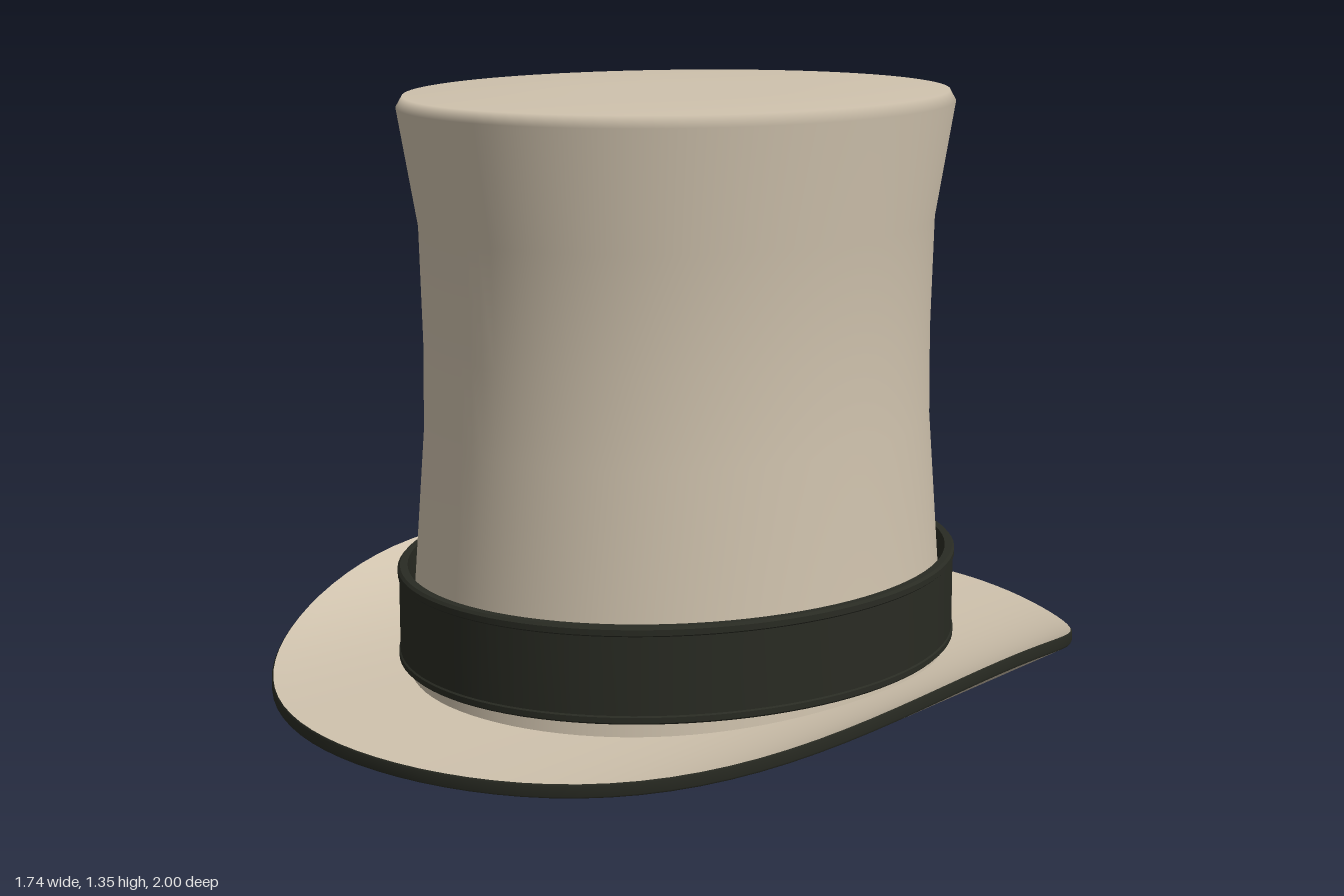
import * as THREE from 'three';
import { toCreasedNormals } from 'three/addons/utils/BufferGeometryUtils.js';
import { RoundedBoxGeometry } from 'three/addons/geometries/RoundedBoxGeometry.js';

const SEG = 96;
const DEPTH = 1.155; // the crown is an ellipse, longer from front to back

// Lathe a list of [radius, height] points and stretch it to the hat's ellipse
function ovalLathe(profile) {
  const g = new THREE.LatheGeometry(profile.map(([r, y]) => new THREE.Vector2(r, y)), SEG);
  return g.scale(1, 1, DEPTH);
}

// Top surface of the brim: nearly level, with the two sides curled up
function brimHeight(x, z) {
  const curl = 0.1375 * Math.pow(Math.abs(x) / 0.872, 4.4);
  return 0.034 - 0.012 * x + 0.004 * z * (z + 1) + curl * (1 + 0.11 * x) * (1 - 0.3 * z);
}

// Surface through elliptical rings [radius, offset from brim top]
function brimSurface(rings) {
  const pos = [], index = [];
  for (const [r, offset] of rings) {
    for (let i = 0; i < SEG; i++) {
      const a = (i / SEG) * Math.PI * 2;
      const x = r * Math.sin(a), z = r * 1.147 * Math.cos(a);
      pos.push(x, brimHeight(x, z) + offset, z);
    }
  }
  for (let j = 0; j < rings.length - 1; j++) {
    for (let i = 0; i < SEG; i++) {
      const k = (i + 1) % SEG;
      const a = j * SEG + i, b = j * SEG + k, c = a + SEG, d = b + SEG;
      index.push(a, c, b, b, c, d);
    }
  }
  const g = new THREE.BufferGeometry();
  g.setAttribute('position', new THREE.Float32BufferAttribute(pos, 3));
  g.setIndex(index);
  g.computeVertexNormals();
  return g;
}

export function createModel() {
  const felt = new THREE.MeshStandardMaterial({ color: 0xcfc2ad, side: THREE.DoubleSide });
  felt.name = 'beige felt';
  const ribbon = new THREE.MeshStandardMaterial({ color: 0x292b23 });
  ribbon.name = 'dark ribbon';

  const hat = new THREE.Group();
  hat.name = 'topHat';
  const add = (name, geometry, material, parent = hat) => {
    const mesh = new THREE.Mesh(geometry, material);
    mesh.name = name;
    parent.add(mesh);
    return mesh;
  };

  // Hollow crown: waisted wall, flared top, bevelled lip and flat lid
  add('crown', ovalLathe([
    [0.583, 0.025], [0.565, 0.28], [0.543, 0.6], [0.541, 0.8], [0.547, 1.06],
    [0.588, 1.325], [0.575, 1.35], [0.2, 1.35], [0, 1.35],
  ]), felt);

  // Brim: felt above and below, with rings spaced from crown to edge
  const inner = 0.582, edge = 0.869, thick = 0.03;
  const steps = Array.from({ length: 11 }, (_, i) => inner + (edge - inner) * (i / 10));
  add('brimTop', brimSurface(steps.map((r) => [r, 0])), felt);
  add('brimUnderside', brimSurface(steps.map((r) => [r, -thick]).reverse()), felt);
  add('brimInnerWall', brimSurface([[inner, -thick], [inner, 0]]), felt);

  // Dark binding along the brim edge
  add('brimBinding', brimSurface([
    [edge, 0], [0.872, -0.004], [0.872, 0.004 - thick], [edge, -thick],
  ]), ribbon);

  // Hat band with a slightly raised hem along both edges
  const bandGeometry = ovalLathe([
    [0.583, 0.07], [0.6, 0.07], [0.604, 0.074], [0.604, 0.086], [0.601, 0.089],
    [0.601, 0.262], [0.604, 0.265], [0.604, 0.278], [0.599, 0.284], [0.583, 0.284], [0.583, 0.07],
  ]);
  add('hatBand', toCreasedNormals(bandGeometry, 0.6), ribbon);

  // Flat bow on the right side: two loops and a knot
  const bow = new THREE.Group();
  bow.name = 'bow';
  hat.add(bow);
  for (const s of [-1, 1]) {
    const loop = add(s > 0 ? 'frontBowLoop' : 'backBowLoop',
      new RoundedBoxGeometry(0.036, 0.152, 0.145, 3, 0.01), ribbon, bow);
    loop.position.set(-0.614, 0.177, s * 0.113);
    loop.rotation.set(0, s * 0.14, -0.09);
  }
  const knot = add('bowKnot', new RoundedBoxGeometry(0.032, 0.14, 0.045, 3, 0.008), ribbon, bow);
  knot.position.set(-0.616, 0.177, 0);
  knot.rotation.z = -0.09;

  return hat;
}
